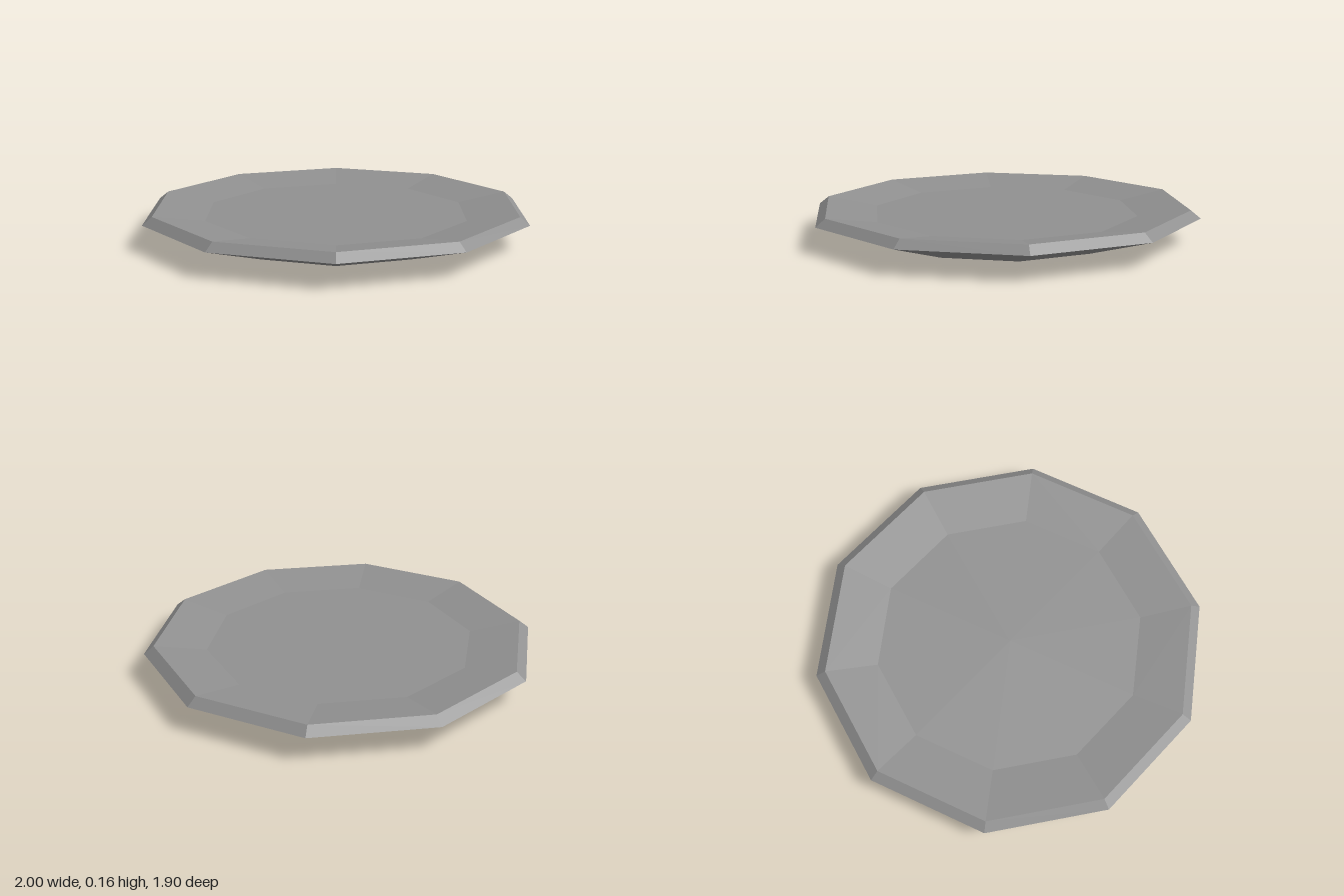
import * as THREE from 'three';

const SIDES = 10;

// Ten-sided ring or disc swept from [radius, height] pairs, with a corner on the x axis
function facetedPart(name, profile, material) {
  const points = profile.map(([r, y]) => new THREE.Vector2(r, y));
  const geometry = new THREE.LatheGeometry(points, SIDES, Math.PI / 2).toNonIndexed();
  geometry.computeVertexNormals();
  const mesh = new THREE.Mesh(geometry, material);
  mesh.name = name;
  return mesh;
}

export function createModel() {
  const plate = new THREE.Group();
  plate.name = 'plate';

  const grey = new THREE.MeshStandardMaterial({ color: 0x909090, flatShading: true });
  grey.name = 'grey';

  // Flat foot and flared underside
  plate.add(facetedPart('underside', [[0, 0], [0.61, 0], [1, 0.12]], grey));
  // Narrow bevel around the edge
  plate.add(facetedPart('rim', [[1, 0.12], [0.95, 0.16]], grey));
  // Shallow dished top with a flat floor
  plate.add(facetedPart('dish', [[0.95, 0.16], [0.685, 0.12], [0, 0.12]], grey));

  return plate;
}
